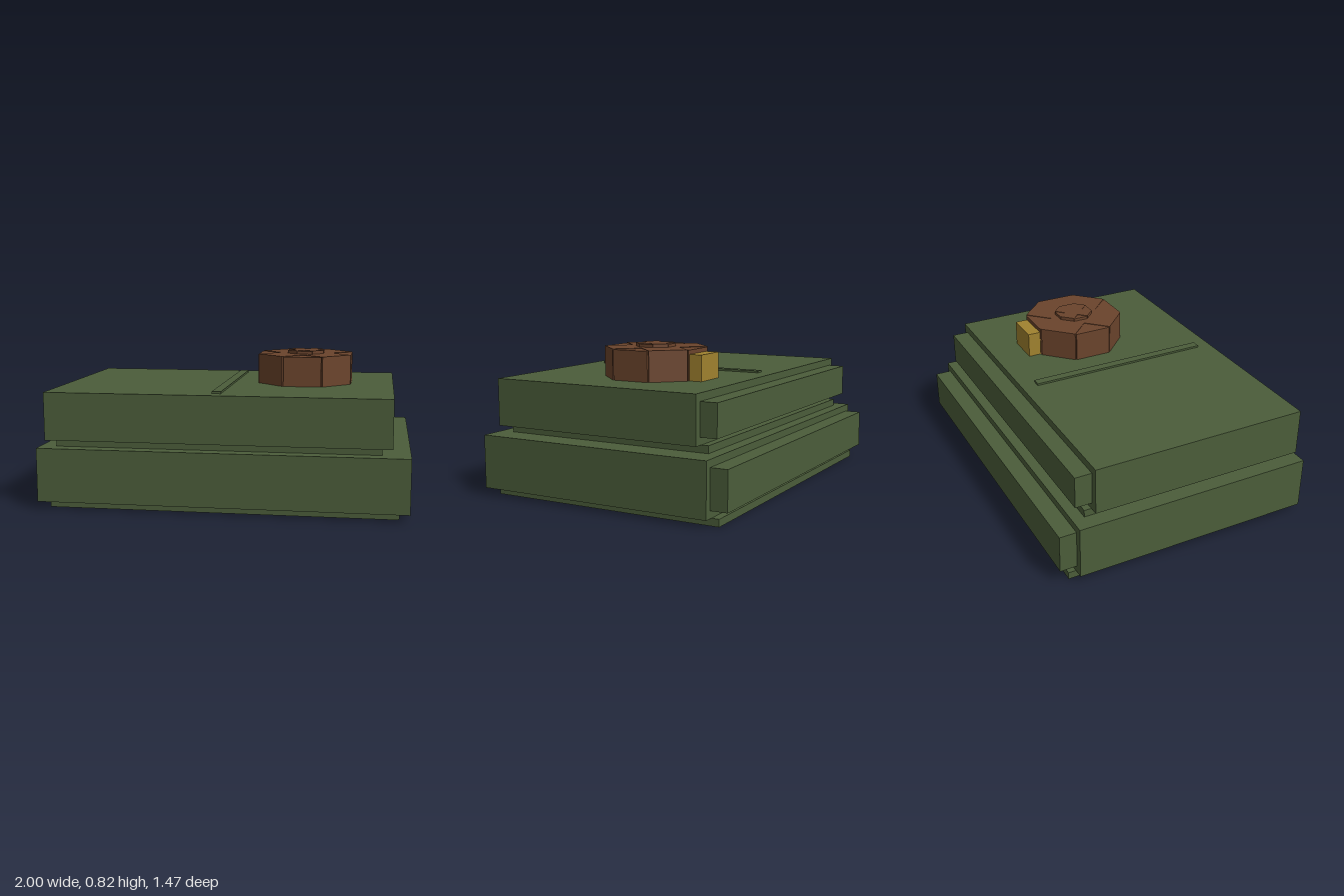
import * as THREE from 'three';

export function createModel() {
  const model = new THREE.Group();
  const mat = (name, color) => new THREE.MeshStandardMaterial({ name, color });
  const green = mat('olive green', 0x4b5d3a);
  const brown = mat('leather brown', 0x6b442c);
  const brass = mat('brass', 0xa0822f);

  // Box given by its limits on each axis
  function block(name, material, [x0, x1], [y0, y1], [z0, z1]) {
    const mesh = new THREE.Mesh(new THREE.BoxGeometry(x1 - x0, y1 - y0, z1 - z0), material);
    mesh.position.set((x0 + x1) / 2, (y0 + y1) / 2, (z0 + z1) / 2);
    mesh.name = name;
    model.add(mesh);
  }

  // Lower folded bundle
  block('lowerBase', green, [-0.945, 0.945], [0, 0.04], [-0.68, 0.68]);
  block('lowerBundle', green, [-1, 1], [0.04, 0.335], [-0.638, 0.733]);
  block('lowerFold', green, [-0.96, 0.96], [0.08, 0.295], [-0.733, -0.638]);

  // Upper folded bundle, set slightly to one side
  block('upperBase', green, [-0.91, 0.85], [0.335, 0.375], [-0.57, 0.655]);
  block('upperBundle', green, [-0.96, 0.905], [0.375, 0.637], [-0.53, 0.705]);
  block('upperFold', green, [-0.92, 0.863], [0.415, 0.595], [-0.625, -0.53]);
  block('topSeam', green, [-0.055, -0.005], [0.637, 0.648], [-0.44, 0.622]);

  // Coiled belt: four crossed bars make a notched eight-sided coil
  function coil(name, length, width, y0, y1) {
    const group = new THREE.Group();
    group.name = name;
    for (let i = 0; i < 4; i++) {
      const top = y1 - (i % 2 ? 0 : 0.003);
      const bar = new THREE.Mesh(new THREE.BoxGeometry(length, top - y0, width), brown);
      bar.position.y = (y0 + top) / 2;
      bar.rotation.y = i * Math.PI / 4;
      bar.name = name + 'Bar';
      group.add(bar);
    }
    group.position.x = 0.397;
    model.add(group);
  }
  coil('beltCoil', 0.534, 0.212, 0.637, 0.806);
  coil('beltCore', 0.208, 0.084, 0.79, 0.825);

  // Buckle behind the coil
  block('buckle', brass, [0.298, 0.496], [0.637, 0.78], [-0.34, -0.25]);

  return model;
}
